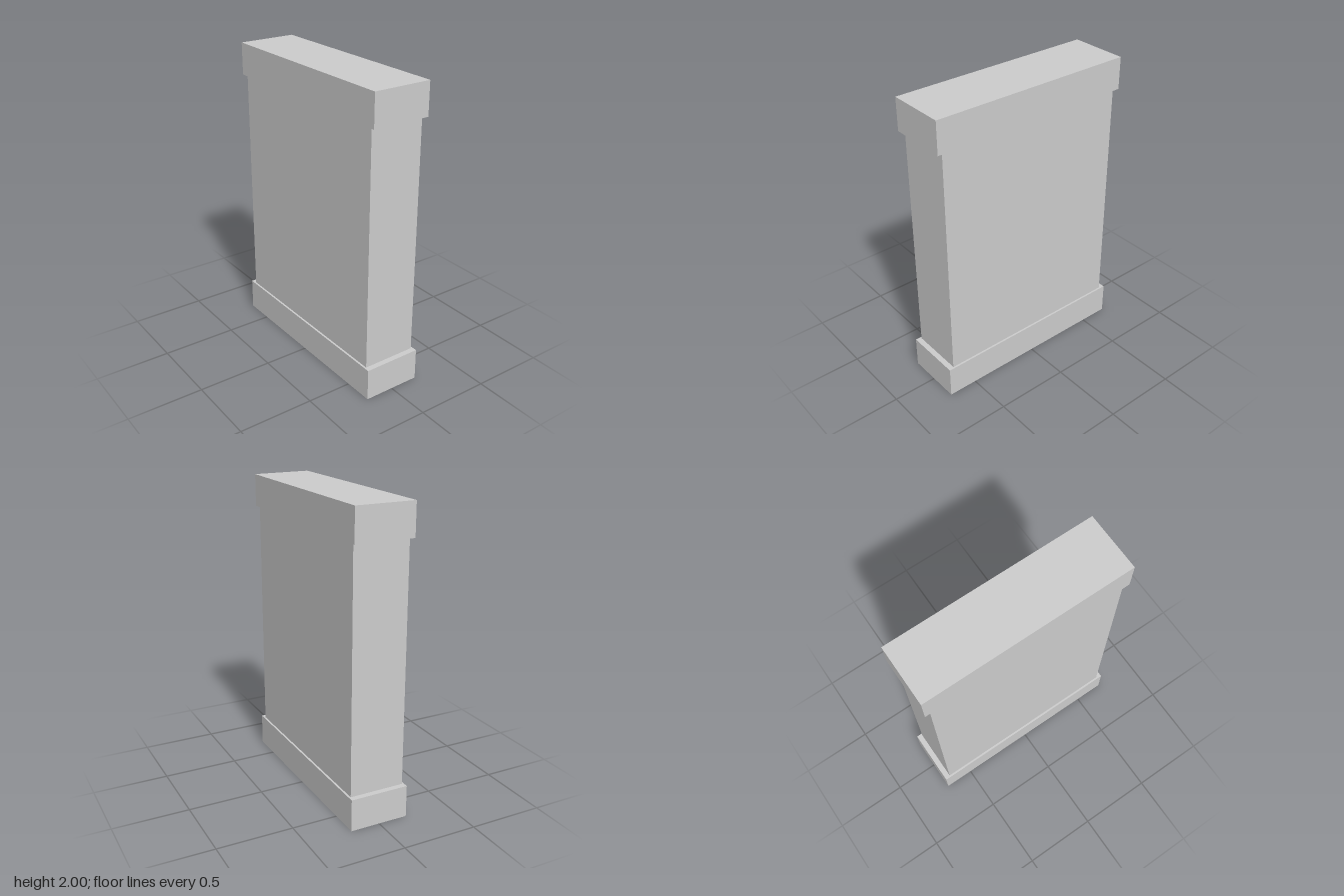
import * as THREE from 'three';

export function createModel() {
  const model = new THREE.Group();
  model.name = 'pillar';
  const material = new THREE.MeshStandardMaterial({ color: 0xcccccc, flatShading: true });

  // Adds a centred block standing on the given height
  function addBlock(name, width, height, depth, bottom) {
    const mesh = new THREE.Mesh(new THREE.BoxGeometry(width, height, depth), material);
    mesh.name = name;
    mesh.position.y = bottom + height / 2;
    model.add(mesh);
  }

  const slabHeight = 0.214;
  const shaftHeight = 2 - 2 * slabHeight;

  // Matching base and cap, with a slightly narrower shaft between them
  addBlock('base', 0.392, slabHeight, 1.396, 0);
  addBlock('shaft', 0.366, shaftHeight, 1.322, slabHeight);
  addBlock('cap', 0.392, slabHeight, 1.396, slabHeight + shaftHeight);

  return model;
}
